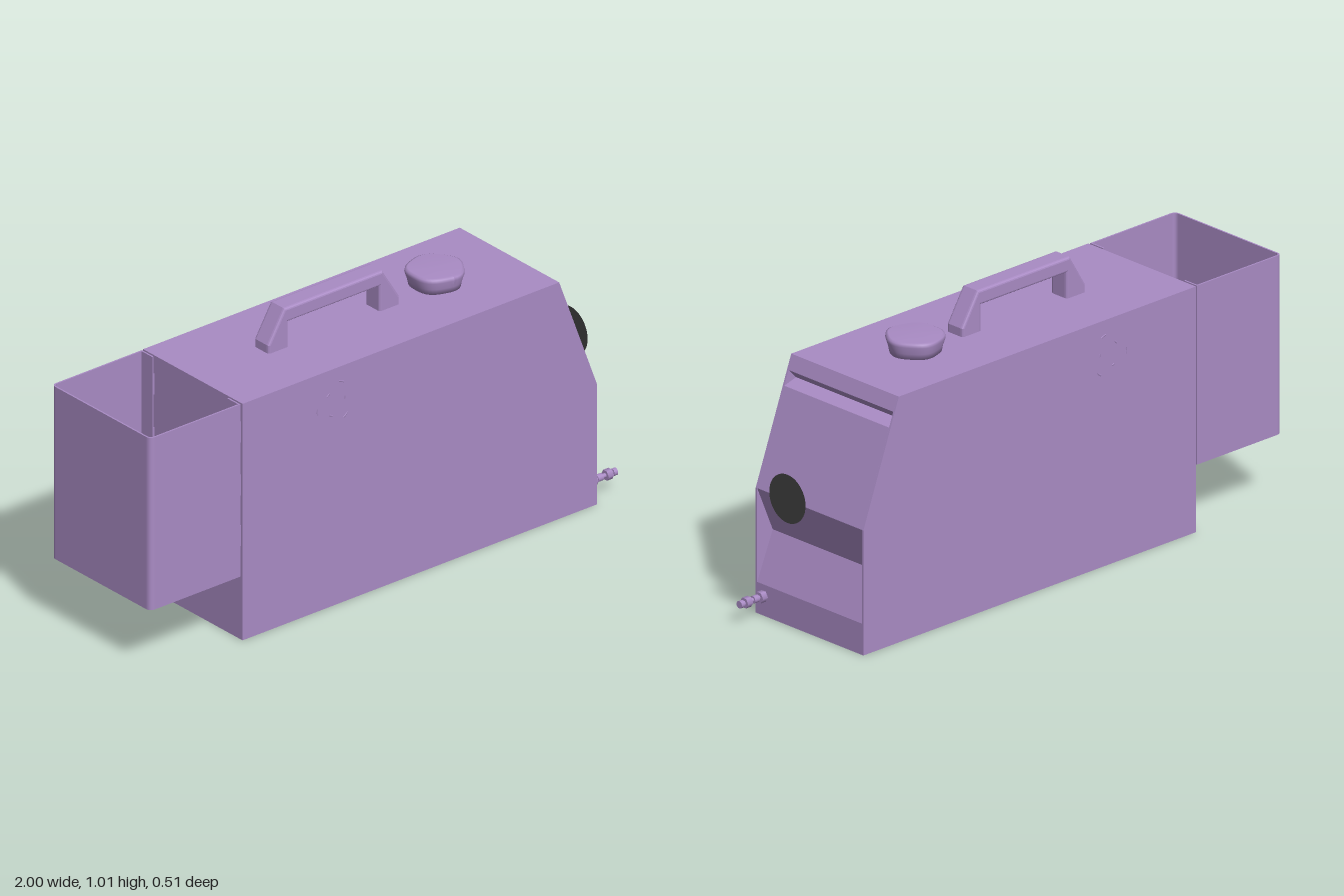
import * as THREE from 'three';

const purple = new THREE.MeshStandardMaterial({ color: 0xa98bc4, side: THREE.DoubleSide });
const dark = new THREE.MeshStandardMaterial({ color: 0x404040, side: THREE.DoubleSide });

function polygon(points) {
  return new THREE.Shape(points.map(([x, y]) => new THREE.Vector2(x, y)));
}

function extrude(shape, depth, options = {}) {
  return new THREE.ExtrudeGeometry(shape, { depth, bevelEnabled: false, curveSegments: 24, ...options });
}

function add(parent, name, geometry, x = 0, y = 0, z = 0, material = purple) {
  const mesh = new THREE.Mesh(geometry, material);
  mesh.name = name;
  mesh.position.set(x, y, z);
  parent.add(mesh);
  return mesh;
}

function group(parent, name, x, y, z) {
  const g = new THREE.Group();
  g.name = name;
  g.position.set(x, y, z);
  parent.add(g);
  return g;
}

// Housing: notched core between two plain side plates
function buildHousing(root) {
  const body = group(root, 'housing', 0, 0, 0);
  const core = polygon([
    [-0.61, 0], [0.89, 0], [0.89, 0.11], [0.82, 0.275], [0.89, 0.44],
    [0.768, 0.765], [0.715, 0.78], [0.749, 0.815], [0.73, 0.865], [-0.61, 0.865],
  ]);
  add(body, 'core', extrude(core, 0.49), 0, 0, -0.245);
  const plate = polygon([[-0.61, 0], [0.89, 0], [0.89, 0.44], [0.73, 0.865], [-0.61, 0.865]]);
  for (const z of [-0.252, 0.245]) add(body, 'sidePlate', extrude(plate, 0.007), 0, 0, z);

  // Slight raised marks around a hub on each side
  for (const side of [-1, 1]) {
    const marks = group(body, 'sideMarks', -0.22, 0.74, side * 0.25);
    for (let i = 0; i < 6; i++) {
      const r = i % 2 ? 0.075 : 0.045;
      const arc = new THREE.TorusGeometry(r, 0.004, 6, 6, 0.3);
      add(marks, 'mark', arc).rotation.z = i * Math.PI / 3;
    }
  }
}

// Carrying handle with slanted outer legs
function buildHandle(root) {
  const shape = polygon([
    [-0.312, 0.865], [-0.312, 0.892], [-0.247, 1.0], [0.16, 1.0], [0.227, 0.892], [0.227, 0.865],
    [0.158, 0.865], [0.158, 0.964], [-0.243, 0.964], [-0.243, 0.865],
  ]);
  const geo = extrude(shape, 0.054, { bevelEnabled: true, bevelThickness: 0.01, bevelSize: 0.008, bevelSegments: 3 });
  add(root, 'handle', geo, 0, 0, -0.027);
}

// Filler cap with a softly lobed grip
function buildCap(root) {
  const geo = new THREE.LatheGeometry([
    [0, 0], [0.086, 0], [0.09, 0.02], [0.098, 0.045], [0.096, 0.056], [0.088, 0.06], [0, 0.06],
  ].map(([r, y]) => new THREE.Vector2(r, y)), 48);
  const p = geo.attributes.position;
  for (let i = 0; i < p.count; i++) {
    const s = 1 + 0.03 * Math.cos(5 * Math.atan2(p.getZ(i), p.getX(i)));
    p.setX(i, p.getX(i) * s);
    p.setZ(i, p.getZ(i) * s);
  }
  geo.computeVertexNormals();
  add(root, 'fillerCap', geo, 0.42, 0.865, -0.005);
}

// Open duct: thin U-shaped wall with flanges towards the housing
function buildDuct(root) {
  const t = 0.006, z = 0.25, x0 = -1, x1 = -0.617, r = 0.022;
  const s = new THREE.Shape();
  s.moveTo(x1, 0.19);
  s.lineTo(x1, z);
  s.lineTo(x0 + r, z);
  s.quadraticCurveTo(x0, z, x0, z - r);
  s.lineTo(x0, -z + r);
  s.quadraticCurveTo(x0, -z, x0 + r, -z);
  s.lineTo(x1, -z);
  s.lineTo(x1, -0.19);
  s.lineTo(x1 - t, -0.19);
  s.lineTo(x1 - t, -z + t);
  s.lineTo(x0 + r, -z + t);
  s.quadraticCurveTo(x0 + t, -z + t, x0 + t, -z + r);
  s.lineTo(x0 + t, z - r);
  s.quadraticCurveTo(x0 + t, z - t, x0 + r, z - t);
  s.lineTo(x1 - t, z - t);
  s.lineTo(x1 - t, 0.19);
  add(root, 'ductWall', extrude(s, 0.63).rotateX(-Math.PI / 2), 0, 0.235, 0);

  // Tabs joining duct and housing
  for (const y of [0.38, 0.565, 0.76]) {
    for (const side of [-1, 1]) add(root, 'ductTab', new THREE.BoxGeometry(0.012, 0.075, 0.05), -0.613, y, side * 0.22);
  }
}

// Square fan lying flat at the bottom of the duct
function buildFan(root) {
  const fan = group(root, 'fan', -0.81, 0.25, -0.005);
  const h = 0.14;
  const ring = polygon([[-0.17, -0.17], [0.17, -0.17], [0.17, 0.17], [-0.17, 0.17]]);
  ring.holes.push(new THREE.Path().absarc(0, 0, 0.158, 0, Math.PI * 2, true));
  for (const sx of [-1, 1]) {
    for (const sz of [-1, 1]) {
      ring.holes.push(new THREE.Path().absarc(sx * 0.15, sz * 0.15, 0.009, 0, Math.PI * 2, true));
    }
  }
  add(fan, 'fanFrame', extrude(ring, h).rotateX(-Math.PI / 2));
  add(fan, 'fanHub', new THREE.CylinderGeometry(0.052, 0.052, h * 0.8, 32), 0, h / 2, 0);

  // Curved pitched blades
  const blade = new THREE.Shape();
  blade.moveTo(0.045, -0.025);
  blade.quadraticCurveTo(0.1, -0.03, 0.145, 0.02);
  blade.lineTo(0.115, 0.09);
  blade.quadraticCurveTo(0.09, 0.04, 0.045, 0.025);
  for (let i = 0; i < 7; i++) {
    const geo = extrude(blade, 0.004).rotateX(-Math.PI / 2 + 0.35);
    add(fan, 'fanBlade', geo, 0, h / 2, 0).rotation.y = i * Math.PI * 2 / 7;
  }
  // Guard rings and spokes
  for (const y of [0, h]) {
    for (const r of [0.03, 0.065, 0.095, 0.125, 0.152]) {
      add(fan, 'guardRing', new THREE.TorusGeometry(r, 0.004, 6, 40).rotateX(Math.PI / 2), 0, y, 0);
    }
    for (const a of [0, 1]) {
      add(fan, 'guardSpoke', new THREE.BoxGeometry(0.4, 0.006, 0.006), 0, y, 0).rotation.y = Math.PI / 4 + a * Math.PI / 2;
    }
  }
  // Bracket and arm holding the fan to the housing
  add(root, 'fanBracket', new THREE.BoxGeometry(0.04, 0.16, 0.28), -0.63, 0.33, 0);
  add(root, 'fanArm', new THREE.BoxGeometry(0.08, 0.025, 0.06), -0.68, 0.4, 0);
}

// Drain fitting: hexagonal nuts on a thin stem, pointing along +x
function buildDrain(root) {
  const drain = group(root, 'drainFitting', 0, 0.07, 0.215);
  const pieces = [
    ['stem', 0.008, 0.89, 0.998, 16], ['baseNut', 0.02, 0.89, 0.912, 6],
    ['collar', 0.013, 0.918, 0.94, 16], ['endNut', 0.019, 0.955, 0.978, 6], ['tip', 0.013, 0.985, 1.0, 16],
  ];
  for (const [name, r, a, b, sides] of pieces) {
    add(drain, name, new THREE.CylinderGeometry(r, r, b - a, sides).rotateZ(Math.PI / 2), (a + b) / 2);
  }
}

export function createModel() {
  const root = new THREE.Group();
  root.name = 'portableBlowerUnit';
  buildHousing(root);
  buildHandle(root);
  buildCap(root);
  buildDuct(root);
  buildFan(root);
  buildDrain(root);
  // Thin round disc standing off the sloped panel
  add(root, 'frontDisc', new THREE.CircleGeometry(0.085, 40).rotateY(Math.PI / 2), 0.99, 0.505, 0, dark);
  return root;
}
